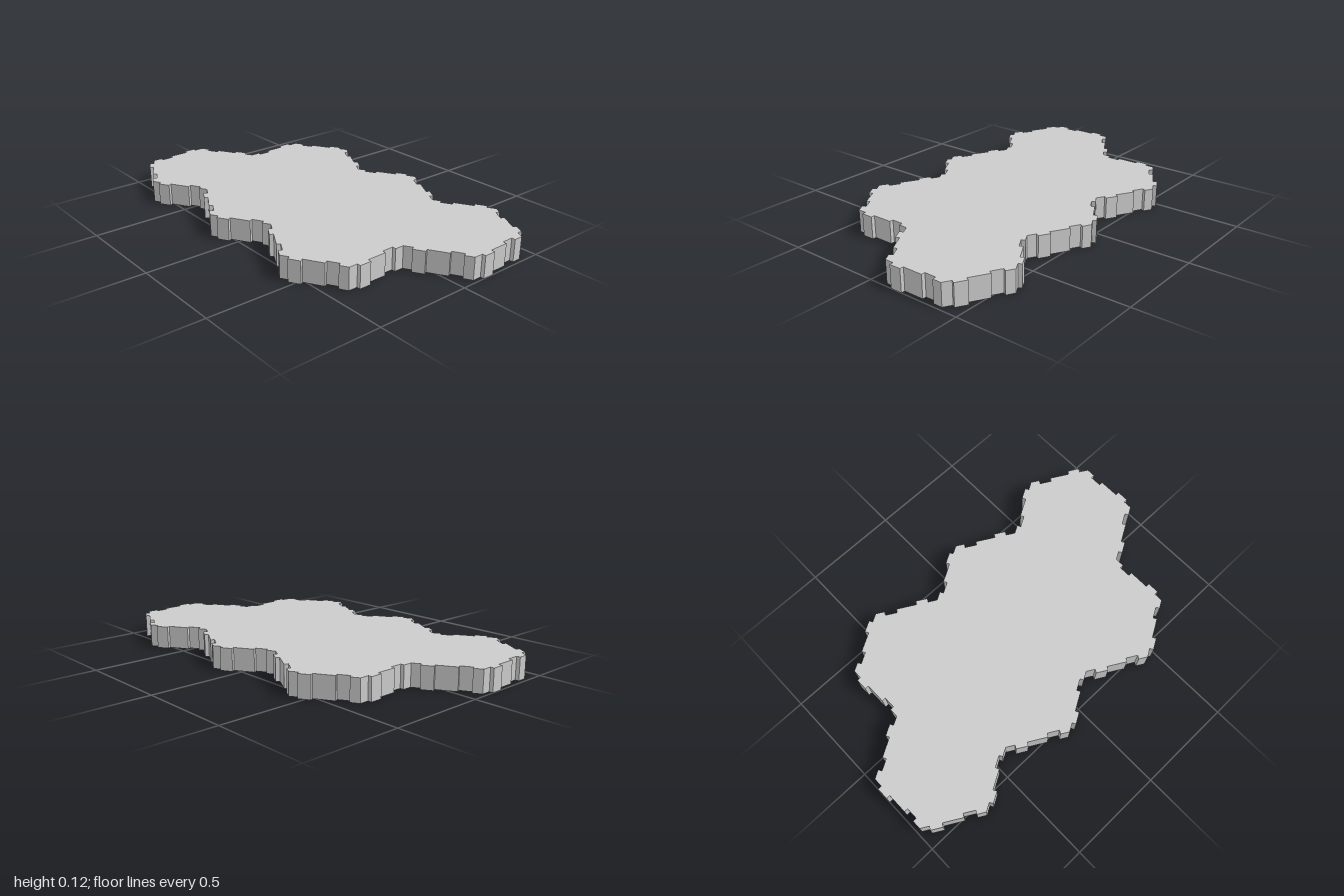
import * as THREE from 'three';

const W = 0.56;                 // hexagon width across flats
const R = W / Math.sqrt(3);     // hexagon side length
const HEIGHT = 0.115;
const TAB = 0.02;               // how far tabs and notches step off the side

// Notch then tab along one hexagon side: [distance along, offset outward]
const SIDE = [
  [0, 0],
  [0.047, 0], [0.047, -TAB], [0.109, -TAB], [0.109, 0],
  [R - 0.109, 0], [R - 0.109, TAB], [R - 0.047, TAB], [R - 0.047, 0],
];

// Headings (degrees) of the sides for one half of the outline; the other half is turned 180
const HALF = [30, -30, 30, -30, 30, -30, -90, -150, -90];

function tileOutline() {
  const points = [];
  let x = -1.25 * W, y = 1.25 * R;
  for (const heading of [...HALF, ...HALF.map((h) => h + 180)]) {
    const a = THREE.MathUtils.degToRad(heading);
    const c = Math.cos(a), s = Math.sin(a);
    for (const [along, out] of SIDE) {
      points.push(new THREE.Vector2(x + c * along - s * out, y + s * along + c * out));
    }
    x += c * R;
    y += s * R;
  }
  return new THREE.Shape(points);
}

export function createModel() {
  const group = new THREE.Group();
  group.name = 'hexTileBase';

  // Two staggered rows of three hexagons merged into one flat slab
  const geometry = new THREE.ExtrudeGeometry(tileOutline(), { depth: HEIGHT, bevelEnabled: false });
  geometry.rotateX(-Math.PI / 2);
  const slab = new THREE.Mesh(
    geometry,
    new THREE.MeshStandardMaterial({ color: 0xcccccc, flatShading: true })
  );
  slab.name = 'interlockingSlab';
  group.add(slab);
  return group;
}
